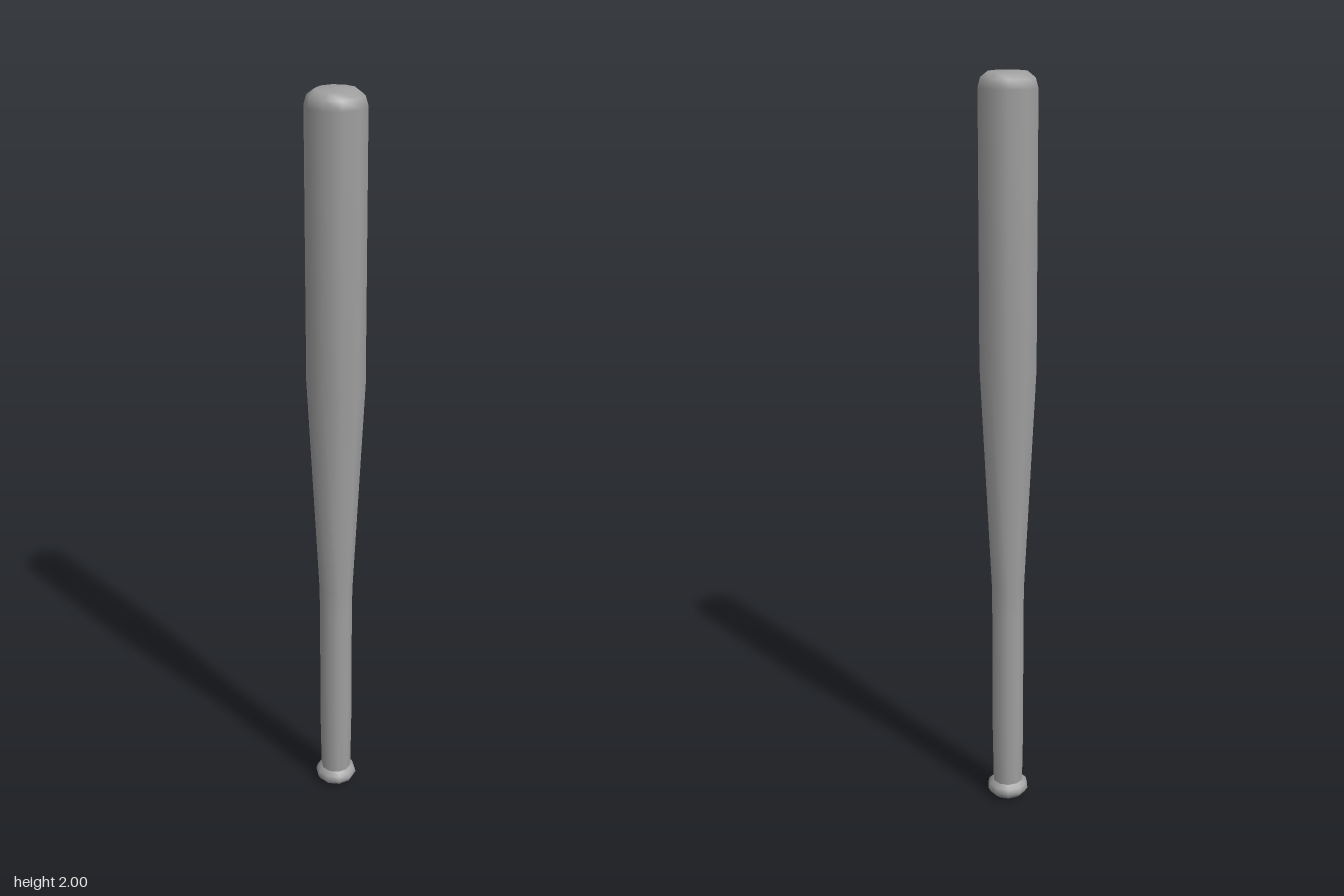
import * as THREE from 'three';

const SIDES = 10;

// Turned part from [radius, height] pairs, listed bottom to top
function turned(name, profile, material) {
  const points = profile.map(([r, y]) => new THREE.Vector2(r, y));
  const mesh = new THREE.Mesh(new THREE.LatheGeometry(points, SIDES, Math.PI / 2), material);
  mesh.name = name;
  return mesh;
}

export function createModel() {
  const group = new THREE.Group();
  group.name = 'bat';
  const material = new THREE.MeshStandardMaterial({ color: 0x9f9f9f });

  // Rounded knob at the foot of the handle
  group.add(turned('knob', [
    [0, 0], [0.038, 0.003], [0.051, 0.013], [0.058, 0.026], [0.054, 0.04], [0.042, 0.05],
  ], material));

  // Slim handle, taper, straight barrel and rounded end
  group.add(turned('handleAndBarrel', [
    [0.042, 0.05], [0.0445, 0.2], [0.0445, 0.57], [0.0455, 0.65], [0.0765, 1.26],
    [0.0765, 1.96], [0.07, 1.983], [0.05, 1.998], [0, 2],
  ], material));

  return group;
}
